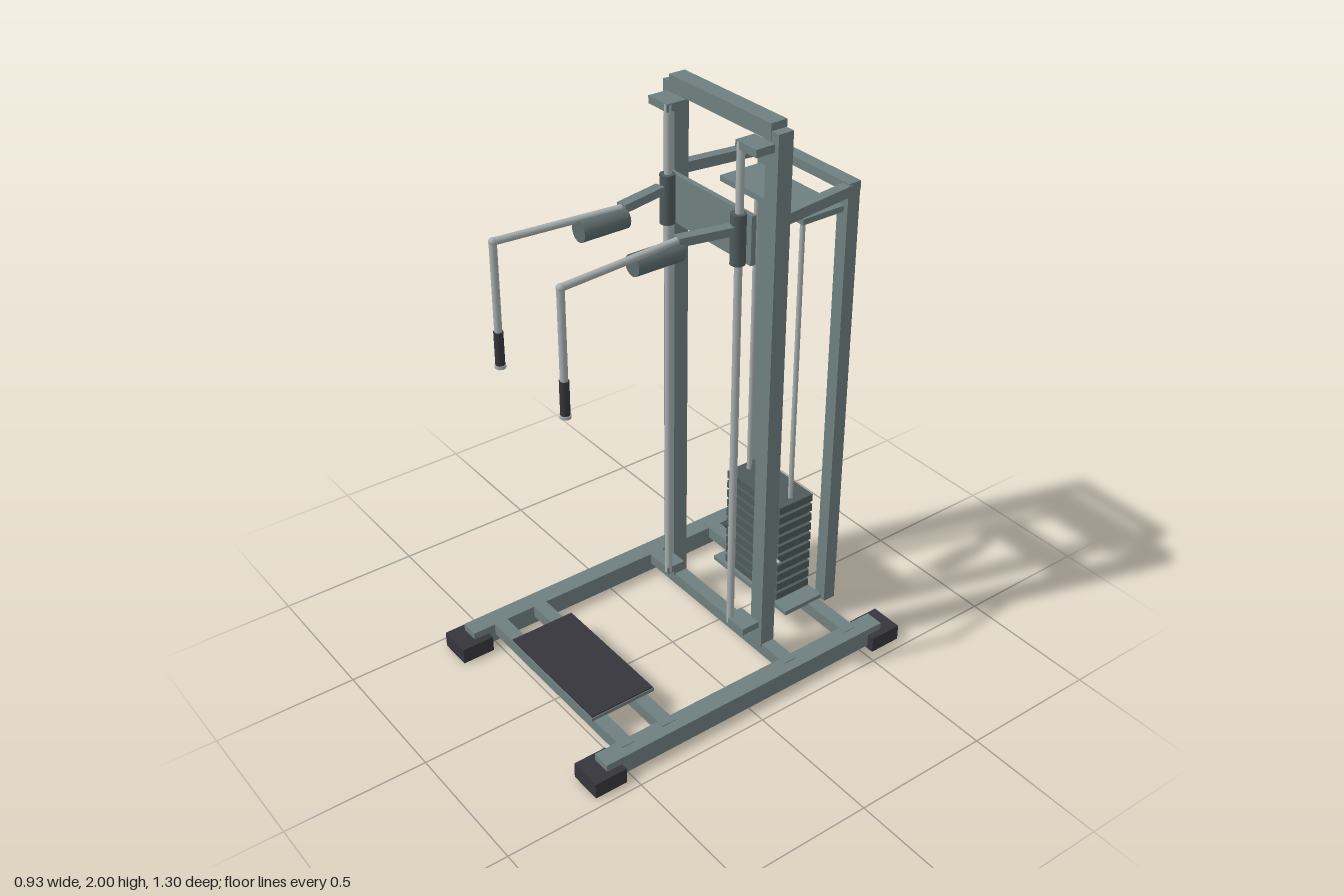
import * as THREE from 'three';

export function createModel() {
  const root = new THREE.Group();
  root.name = 'liftMachine';
  const mat = (name, color) => {
    const m = new THREE.MeshStandardMaterial({ color });
    m.name = name;
    return m;
  };
  const frame = mat('frameGreen', 0x6f8080);
  const padMat = mat('padGreen', 0x5d6b6b);
  const steel = mat('darkSteel', 0x4f5b5b);
  const chrome = mat('chrome', 0xa9b0b0);
  const rubber = mat('rubber', 0x37353c);

  const add = (name, geo, m) => {
    const mesh = new THREE.Mesh(geo, m);
    mesh.name = name;
    root.add(mesh);
    return mesh;
  };
  // box given by its limits on each axis
  const box = (name, m, x0, x1, y0, y1, z0, z1) => {
    const mesh = add(name, new THREE.BoxGeometry(Math.abs(x1 - x0), y1 - y0, z1 - z0), m);
    mesh.position.set((x0 + x1) / 2, (y0 + y1) / 2, (z0 + z1) / 2);
    return mesh;
  };
  // round rod between two points
  const rod = (name, m, a, b, r, sides = 16) => {
    const p = new THREE.Vector3(...a), q = new THREE.Vector3(...b);
    const mesh = add(name, new THREE.CylinderGeometry(r, r, p.distanceTo(q), sides), m);
    mesh.position.copy(p).add(q).multiplyScalar(0.5);
    mesh.quaternion.setFromUnitVectors(new THREE.Vector3(0, 1, 0), q.sub(p).normalize());
    return mesh;
  };
  // rectangular bar between two points
  const bar = (name, m, a, b, w, h) => {
    const p = new THREE.Vector3(...a), q = new THREE.Vector3(...b);
    const mesh = add(name, new THREE.BoxGeometry(w, h, p.distanceTo(q)), m);
    mesh.position.copy(p).add(q).multiplyScalar(0.5);
    mesh.lookAt(q);
    return mesh;
  };

  // base cross beams
  for (const z of [-0.475, -0.202, 0.315, 0.478])
    box('crossBeam', frame, -0.4, 0.4, 0.042, 0.087, z - 0.025, z + 0.025);

  // foot platform with a rubber mat
  box('platform', frame, -0.245, 0.245, 0.086, 0.1, 0.262, 0.512);
  box('platformMat', rubber, -0.242, 0.242, 0.1, 0.105, 0.265, 0.509);

  // frame cross members
  box('topBar', frame, -0.245, 0.245, 1.945, 2.0, -0.23, -0.17);
  box('rearTopBar', frame, -0.22, 0.22, 1.675, 1.707, -0.562, -0.515);

  // weight stack
  box('stackTopPlate', frame, -0.205, 0.205, 1.61, 1.63, -0.51, -0.345);
  box('stackBasePlate', frame, -0.205, 0.205, 0.085, 0.102, -0.51, -0.345);
  for (let i = 0; i < 10; i++) {
    const y = 0.112 + i * 0.041;
    box('weightPlate', steel, -0.145, 0.145, y, y + 0.029, -0.5, -0.352);
  }
  rod('selectorPin', chrome, [0.1, 0.29, -0.347], [0.16, 0.29, -0.347], 0.006, 10);

  // sliding carriage panel
  box('carriagePanel', frame, -0.215, 0.215, 1.54, 1.705, -0.15, -0.132);

  // mirrored parts
  for (const s of [-1, 1]) {
    box('sideRail', frame, s * 0.37, s * 0.437, 0.012, 0.084, -0.587, 0.587);
    for (const e of [-1, 1])
      box('foot', rubber, s * 0.343, s * 0.463, 0, 0.058, e * 0.589 - 0.06, e * 0.589 + 0.06);

    box('frontUpright', frame, s * 0.22, s * 0.278, 0.08, 1.975, -0.228, -0.172);
    box('rearUpright', frame, s * 0.172, s * 0.22, 0.08, 1.69, -0.56, -0.512);
    bar('sideBrace', frame, [s * 0.246, 1.682, -0.2], [s * 0.204, 1.682, -0.53], 0.036, 0.036);

    // guide rod with its brackets and sleeve
    for (const y of [0.152, 1.915])
      box('rodBracket', frame, s * 0.165, s * 0.262, y, y + 0.026, -0.175, -0.107 + 0.004);
    rod('guideRod', chrome, [s * 0.177, 0.155, -0.115], [s * 0.177, 1.938, -0.115], 0.013);
    rod('sleeve', steel, [s * 0.177, 1.54, -0.112], [s * 0.177, 1.708, -0.112], 0.025, 20);
    rod('stackRod', chrome, [s * 0.113, 0.09, -0.425], [s * 0.113, 1.62, -0.425], 0.009, 12);

    // arm, shoulder pad and hanging handle
    bar('armBar', frame, [s * 0.178, 1.662, -0.085], [s * 0.141, 1.662, 0.09], 0.036, 0.028);
    rod('shoulderPad', padMat, [s * 0.138, 1.629, 0.08], [s * 0.138, 1.629, 0.25], 0.035, 20);
    rod('handleArm', chrome, [s * 0.141, 1.662, 0.09], [s * 0.179, 1.662, 0.525], 0.012);
    const elbow = add('handleElbow', new THREE.SphereGeometry(0.0135, 16, 10), chrome);
    elbow.position.set(s * 0.179, 1.662, 0.525);
    rod('handleDrop', chrome, [s * 0.179, 1.662, 0.525], [s * 0.179, 1.25, 0.525], 0.0125);
    rod('grip', rubber, [s * 0.179, 1.244, 0.525], [s * 0.179, 1.36, 0.525], 0.0155);
    rod('gripCap', chrome, [s * 0.179, 1.234, 0.525], [s * 0.179, 1.245, 0.525], 0.018);
  }
  return root;
}
